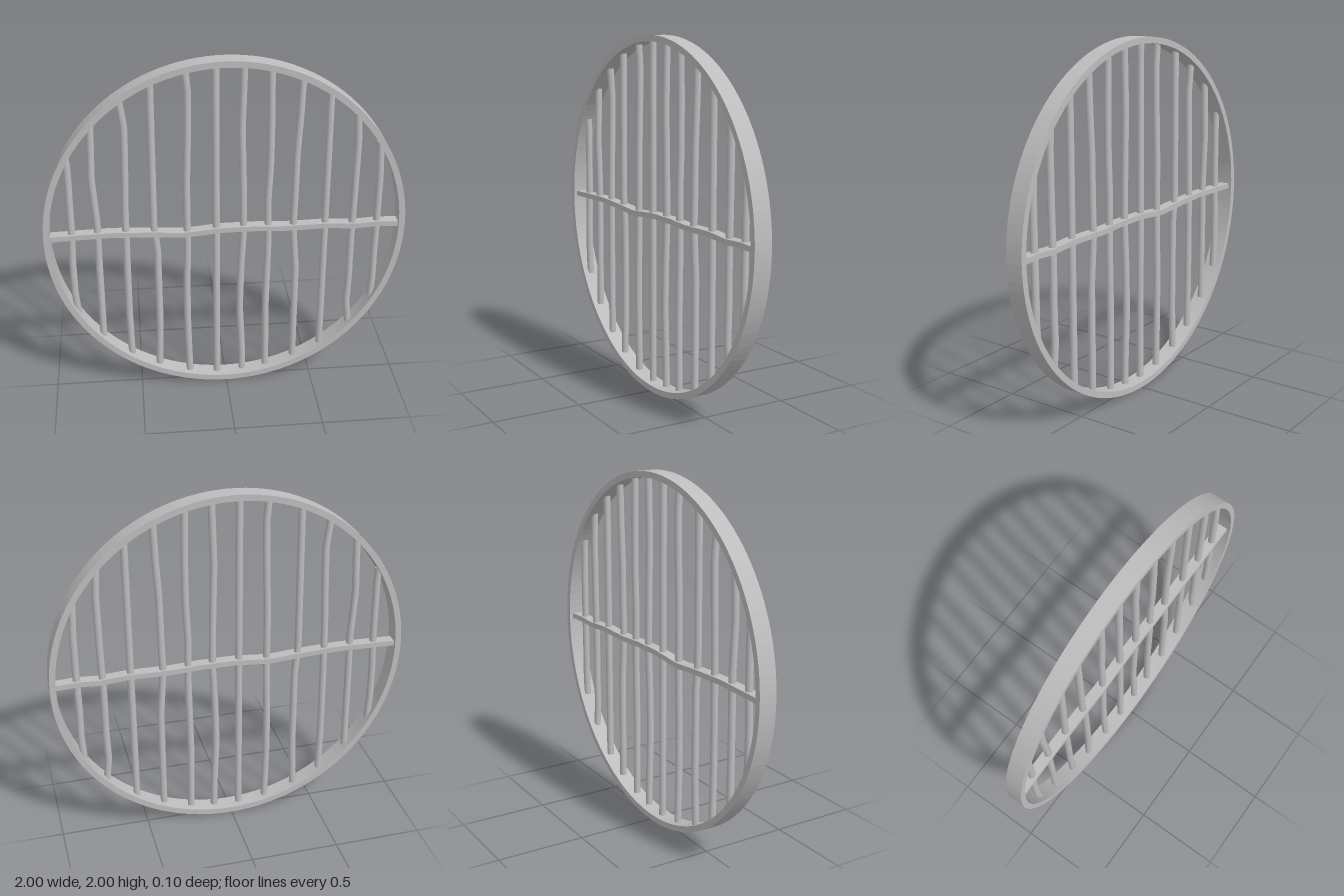
import * as THREE from 'three';

const OUTER = 1, INNER = 0.966, DEPTH = 0.1;

// Smooth-ish wobble: linear interpolation through [position, offset] stops
function sample(stops, t) {
  if (t <= stops[0][0]) return stops[0][1];
  for (let i = 1; i < stops.length; i++) {
    const [a, va] = stops[i - 1], [b, vb] = stops[i];
    if (t <= b) return va + (vb - va) * (t - a) / (b - a);
  }
  return stops[stops.length - 1][1];
}

// Move every vertex along one axis by the wobble read along the other
function bend(geometry, along, shift, stops) {
  const p = geometry.attributes.position;
  for (let i = 0; i < p.count; i++) {
    const t = p.getComponent(i, along);
    p.setComponent(i, shift, p.getComponent(i, shift) + sample(stops, t));
  }
  geometry.computeBoundingSphere();
  return geometry;
}

// Each bar: centre line as [y, x] stops from bottom to top
const BARS = [
  [[0.51, -0.845], [0.65, -0.855], [0.86, -0.855], [1.0, -0.848], [1.4, -0.845], [1.48, -0.85]],
  [[0.34, -0.71], [0.8, -0.709], [1.08, -0.706], [1.35, -0.722], [1.56, -0.714], [1.68, -0.71]],
  [[0.2, -0.551], [0.49, -0.556], [0.81, -0.554], [1.13, -0.551], [1.45, -0.54], [1.64, -0.535], [1.8, -0.556]],
  [[0.115, -0.393], [0.38, -0.382], [0.89, -0.382], [1.05, -0.398], [1.4, -0.396], [1.89, -0.393]],
  [[0.06, -0.214], [0.38, -0.222], [0.65, -0.222], [0.92, -0.214], [1.29, -0.214], [1.61, -0.203], [1.83, -0.2], [1.945, -0.211]],
  [[0.04, -0.053], [1.97, -0.053]],
  [[0.05, 0.096], [0.2, 0.094], [0.49, 0.08], [0.76, 0.086], [1.0, 0.099], [1.32, 0.094], [1.61, 0.086], [1.96, 0.096]],
  [[0.07, 0.235], [0.49, 0.23], [0.92, 0.238], [1.18, 0.233], [1.4, 0.243], [1.67, 0.243], [1.94, 0.238]],
  [[0.125, 0.398], [0.73, 0.398], [1.0, 0.377], [1.18, 0.382], [1.45, 0.385], [1.69, 0.398], [1.89, 0.404]],
  [[0.205, 0.556], [1.81, 0.556]],
  [[0.345, 0.722], [0.49, 0.706], [0.65, 0.711], [0.92, 0.709], [1.18, 0.714], [1.51, 0.717], [1.68, 0.706]],
  [[0.515, 0.842], [0.65, 0.85], [0.81, 0.848], [1.0, 0.85], [1.29, 0.85], [1.5, 0.84]],
];

// Crossbar centre line as [x, y] stops
const CROSS = [
  [-0.968, 1.003], [-0.82, 1.008], [-0.63, 1.013], [-0.42, 1.005], [-0.23, 0.992], [-0.02, 1.011],
  [0.17, 1.011], [0.33, 1.003], [0.57, 1.008], [0.73, 0.997], [0.84, 1.005], [0.968, 1.0],
];

export function createModel() {
  const model = new THREE.Group();
  model.name = 'roundGrate';
  const steel = new THREE.MeshStandardMaterial({ color: 0xbdbdbd });
  steel.name = 'steelGrey';
  const add = (name, geometry) => {
    const mesh = new THREE.Mesh(geometry, steel);
    mesh.name = name;
    model.add(mesh);
    return mesh;
  };

  // Circular frame
  const disc = new THREE.Shape().absarc(0, 0, OUTER, 0, Math.PI * 2);
  disc.holes.push(new THREE.Path().absarc(0, 0, INNER, 0, Math.PI * 2, true));
  const frame = new THREE.ExtrudeGeometry(disc, { depth: DEPTH, bevelEnabled: false, curveSegments: 64 });
  add('frameRing', frame.translate(0, 1, -DEPTH / 2));

  // Upright bars, slightly crooked
  BARS.forEach((stops, i) => {
    const low = stops[0][0], high = stops[stops.length - 1][0];
    const bar = new THREE.CylinderGeometry(0.02, 0.02, high - low, 16, 32);
    bar.translate(0, (low + high) / 2, 0);
    add(`uprightBar${i + 1}`, bend(bar, 1, 0, stops));
  });

  // Flat crossbar through the middle
  const cross = new THREE.BoxGeometry(1.936, 0.03, 0.06, 48, 1, 1);
  bend(cross, 0, 1, CROSS).computeVertexNormals();
  add('crossbar', cross);

  return model;
}
